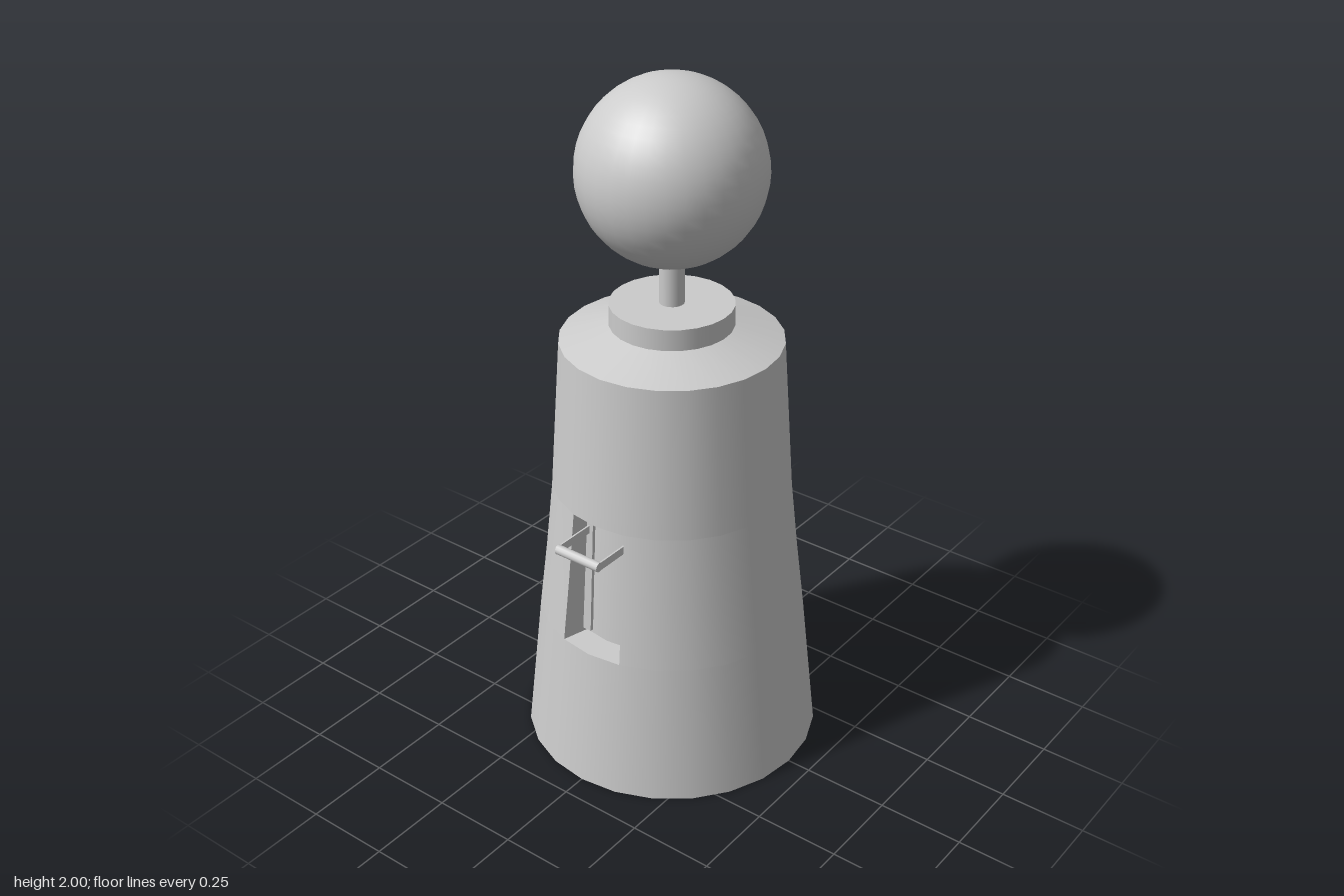
import * as THREE from 'three';

const SIDES = 24;
const STEP = (Math.PI * 2) / SIDES;

export function createModel() {
  const model = new THREE.Group();
  const grey = new THREE.MeshStandardMaterial({ color: 0xcccccc });
  const greyDouble = new THREE.MeshStandardMaterial({ color: 0xcccccc, side: THREE.DoubleSide });

  const add = (name, geometry, x = 0, y = 0, z = 0, material = grey, parent = model) => {
    const mesh = new THREE.Mesh(geometry, material);
    mesh.name = name;
    mesh.position.set(x, y, z);
    parent.add(mesh);
    return mesh;
  };

  // Surface of revolution through [radius, height] points, from one side number to another
  const band = (name, points, from = 0, to = SIDES, parent = model) =>
    add(name, new THREE.LatheGeometry(points.map(([r, y]) => new THREE.Vector2(r, y)),
      to - from, from * STEP, (to - from) * STEP), 0, 0, 0, grey, parent);

  // Tapered body, with two sides left open at the front for the recess
  const low = [0.385, 0.42], middle = [0.361, 0.62], high = [0.34, 0.82];
  band('base', [[0, 0], [0.43, 0]]);
  band('lowerBody', [[0.43, 0], low]);
  band('middleBody', [low, middle, high], 1, SIDES - 1);
  band('upperBody', [high, [0.31, 1.26]]);
  band('shoulder', [[0.31, 1.26], [0.17, 1.305]]);

  // Recess: ledge, back wall, ceiling and two side walls
  const recess = new THREE.Group();
  recess.name = 'recess';
  model.add(recess);
  const backLow = [0.305, 0.42], backHigh = [0.28, 0.82];
  band('recessLedge', [low, backLow], -1, 1, recess);
  band('recessBack', [backLow, backHigh], -1, 1, recess);
  band('recessCeiling', [backHigh, high], -1, 1, recess);
  const wall = new THREE.Shape([backLow, low, middle, high, backHigh]
    .map(([r, y]) => new THREE.Vector2(r, y)));
  for (const side of [-1, 1]) {
    add('recessSide', new THREE.ShapeGeometry(wall), 0, 0, 0, greyDouble, recess)
      .rotation.y = side * STEP - Math.PI / 2;
  }

  // Lever sliding on two upright rails
  const lever = new THREE.Group();
  lever.name = 'lever';
  model.add(lever);
  for (const side of [-1, 1]) {
    add('rail', new THREE.BoxGeometry(0.027, 0.38, 0.02), side * 0.069, 0.62, 0.286, grey, lever)
      .rotation.x = -0.062;
    add('leverArm', new THREE.BoxGeometry(0.005, 0.024, 0.135), side * 0.07, 0.758, 0.3475, grey, lever);
  }
  add('leverHandle', new THREE.CylinderGeometry(0.014, 0.014, 0.145, 12), 0, 0.758, 0.415, grey, lever)
    .rotation.z = Math.PI / 2;

  // Collar, stem and ball on top
  add('collar', new THREE.CylinderGeometry(0.172, 0.172, 0.065, SIDES), 0, 1.333, 0);
  add('stem', new THREE.CylinderGeometry(0.035, 0.035, 0.16, 16), 0, 1.44, 0);
  add('ball', new THREE.SphereGeometry(0.257, 32, 24), 0, 1.743, 0);

  return model;
}
